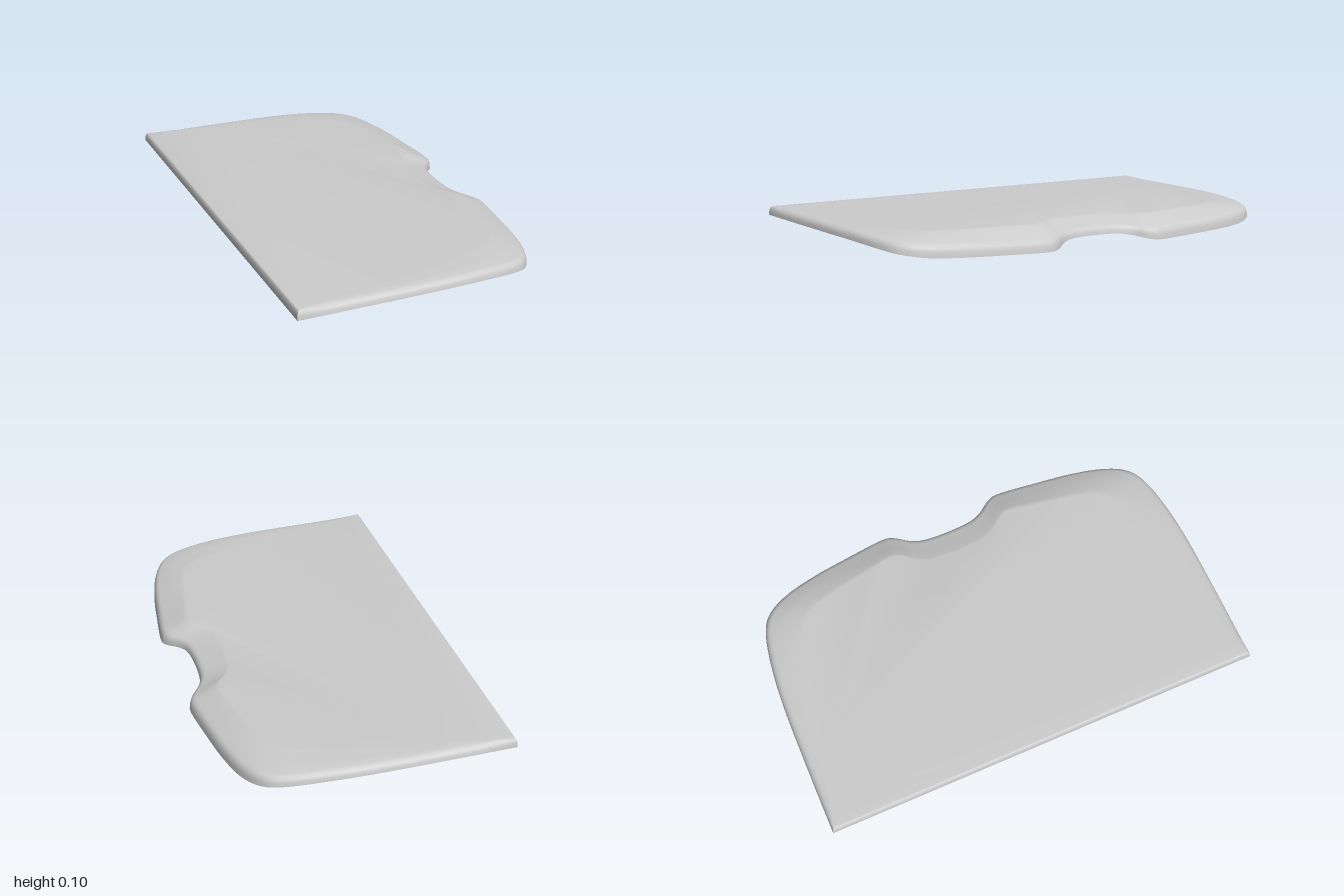
import * as THREE from 'three';
import { toCreasedNormals } from 'three/addons/utils/BufferGeometryUtils.js';

// Half of the rim: [outer x, outer z, inner x, inner z, lower edge y, upper edge y]
const HALF = [
  [-0.6, 1.0, -0.585, 0.983, 0.06, 0.099],
  [-0.3, 0.999, -0.3, 0.93, 0.06, 0.098],
  [0, 0.994, 0, 0.87, 0.059, 0.097],
  [0.2, 0.978, 0.16, 0.83, 0.054, 0.094],
  [0.36, 0.948, 0.29, 0.79, 0.042, 0.085],
  [0.45, 0.9, 0.36, 0.74, 0.028, 0.076],
  [0.51, 0.8, 0.4, 0.66, 0.013, 0.068],
  [0.55, 0.65, 0.425, 0.55, 0.007, 0.063],
  [0.577, 0.47, 0.447, 0.42, 0.003, 0.059],
  [0.597, 0.3, 0.47, 0.3, 0, 0.056],
  [0.585, 0.24, 0.455, 0.245, 0.004, 0.058],
  [0.537, 0.175, 0.41, 0.19, 0.02, 0.065],
  [0.512, 0.11, 0.385, 0.13, 0.029, 0.068],
  [0.505, 0, 0.375, 0, 0.031, 0.069],
];

// Smooth curve through the half rim and its mirror image
function rimCurve(pick) {
  const half = HALF.map(pick);
  const mirrored = half.slice(0, -1).reverse().map((p) => new THREE.Vector3(p.x, p.y, -p.z));
  return new THREE.CatmullRomCurve3([...half, ...mirrored], false, 'catmullrom', 0.5);
}

function panelGeometry() {
  const outer = rimCurve((p) => new THREE.Vector3(p[0], p[4], p[1]));
  const inner = rimCurve((p) => new THREE.Vector3(p[2], p[5], p[3]));
  const steps = (HALF.length - 1) * 2 * 6;
  const count = steps + 1;
  const rings = Array.from({ length: 9 }, () => []);

  for (let i = 0; i <= steps; i++) {
    const o = outer.getPoint(i / steps), n = inner.getPoint(i / steps);
    const low = Math.max(0, o.y), rim = n.y;
    const span = Math.hypot(n.x - o.x, n.z - o.z);
    const inset = Math.min(0.03, span * 0.7) / span;
    const at = (f, y) => [o.x + (n.x - o.x) * f, y, o.z + (n.z - o.z) * f];
    const wall = (h, f) => at(inset * f, low + (rim - low) * h);
    const mid = (k, y) => at(inset + (1 - inset) * k, rim + (0.1 - rim) * y);
    [
      at(1, 0.044 - 0.033 * n.x), // underside plane
      wall(0, 0), wall(0.4, 0.08), wall(0.7, 0.27), wall(0.9, 0.6), wall(1, 1), // rounded edge
      mid(0.45, 0.42), mid(0.85, 0.9), mid(1, 1), // slope up to the flat top
    ].forEach((p, r) => rings[r].push(p));
  }

  // Skin between neighbouring rings, including the straight back edge
  const index = [];
  for (let r = 0; r < rings.length - 1; r++) {
    for (let i = 0; i < count; i++) {
      const j = (i + 1) % count;
      const a = r * count + i, b = r * count + j;
      index.push(a, b, b + count, a, b + count, a + count);
    }
  }
  // Flat top and planar underside share one triangulation
  const contour = rings[8].map((p) => new THREE.Vector2(p[0], -p[2]));
  for (const [a, b, c] of THREE.ShapeUtils.triangulateShape(contour, [])) {
    const top = 8 * count;
    index.push(top + a, top + b, top + c, a, c, b);
  }

  const geometry = new THREE.BufferGeometry();
  geometry.setAttribute('position', new THREE.Float32BufferAttribute(rings.flat(2), 3));
  geometry.setIndex(index);
  return toCreasedNormals(geometry, 0.6);
}

export function createModel() {
  const group = new THREE.Group();
  group.name = 'coverPanel';
  const panel = new THREE.Mesh(panelGeometry(), new THREE.MeshStandardMaterial({ color: 0xcccccc }));
  panel.name = 'panel';
  group.add(panel);
  return group;
}
